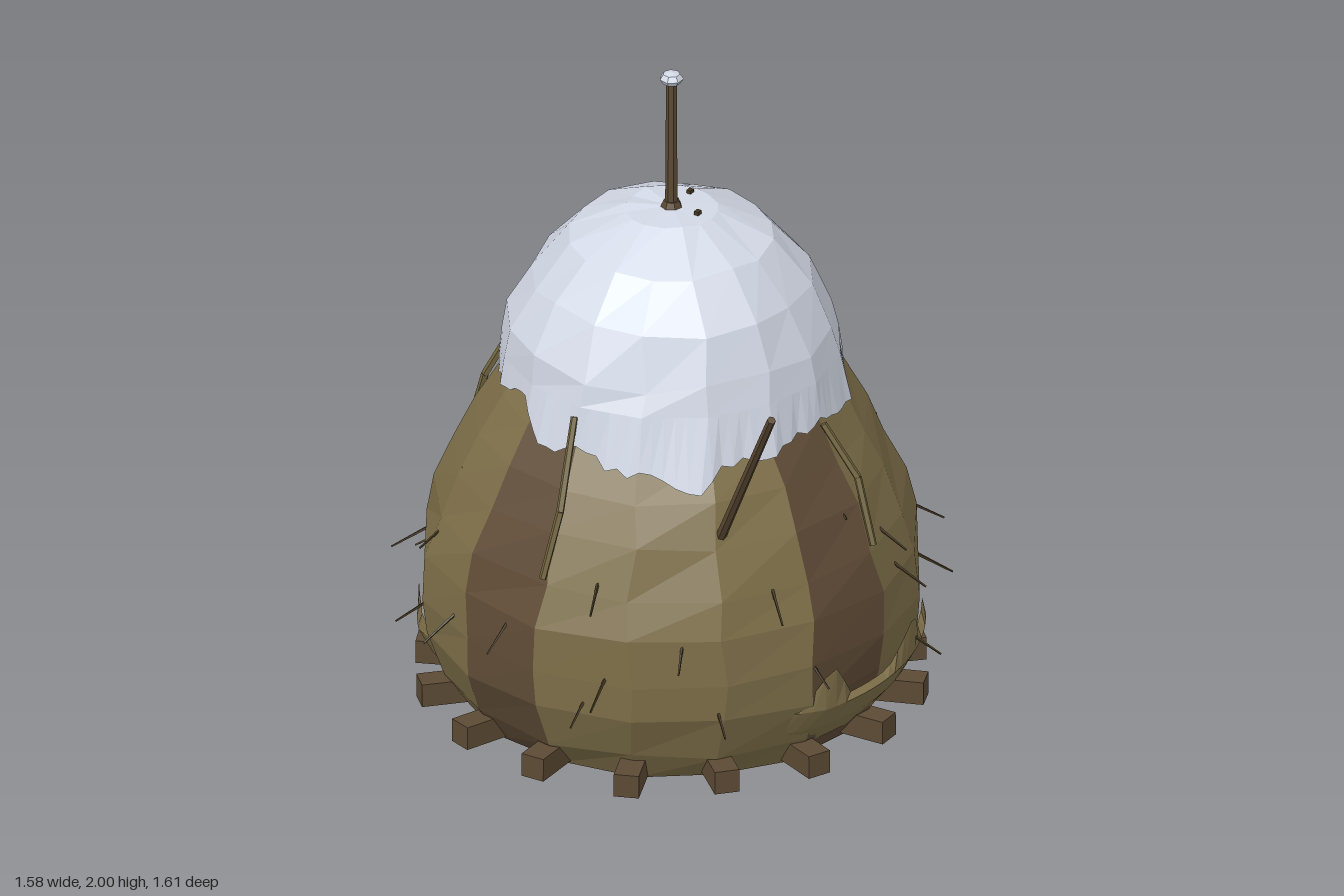
import * as THREE from 'three';

const mat = (name, color) => Object.assign(new THREE.MeshStandardMaterial({ color }), { name });
const SEG = 16, STEP = Math.PI * 2 / SEG;

// Repeatable value in -1..1 for a pair of integers
const noise = (i, j) => {
  const s = Math.sin(i * 127.1 + j * 311.7) * 43758.5453;
  return (s - Math.floor(s)) * 2 - 1;
};
const lerpTable = (table, t) => {
  let k = 0;
  while (k < table.length - 2 && t > table[k + 1][0]) k++;
  const [a, b] = [table[k], table[k + 1]];
  return THREE.MathUtils.lerp(a[1], b[1], THREE.MathUtils.clamp((t - a[0]) / (b[0] - a[0]), 0, 1));
};
// Angle 0 is the front, a quarter turn is +x
const polar = (a, r, y) => new THREE.Vector3(Math.sin(a) * r, y, Math.cos(a) * r);

// Faceted surface from rows of points, bottom row first; pick(i, j) filters cells
function gridGeometry(rows, pick = () => true) {
  const out = [];
  for (let i = 0; i < rows.length - 1; i++) {
    for (let j = 0; j < rows[i].length - 1; j++) {
      if (!pick(i, j)) continue;
      const a = rows[i][j], b = rows[i][j + 1], c = rows[i + 1][j + 1], d = rows[i + 1][j];
      for (const p of [a, b, c, a, c, d]) out.push(p.x, p.y, p.z);
    }
  }
  const g = new THREE.BufferGeometry();
  g.setAttribute('position', new THREE.Float32BufferAttribute(out, 3));
  g.computeVertexNormals();
  return g;
}
const range = (n, f) => Array.from({ length: n }, (_, i) => f(i));

// Hay outline: height, radius
const hay = [[0, 0.6], [0.1, 0.675], [0.24, 0.722], [0.36, 0.732], [0.5, 0.727], [0.62, 0.69],
  [0.76, 0.632], [0.88, 0.575], [1.0, 0.505], [1.12, 0.42], [1.3, 0.28], [1.45, 0.03]];
// Lower edge of the snow: degrees, height
const rim = [[0, 1.0], [12, 0.96], [24, 0.95], [41, 0.9], [50, 0.97], [70, 0.98], [90, 1.0], [112, 0.97],
  [130, 1.05], [150, 1.02], [165, 0.98], [180, 1.0], [205, 0.96], [225, 1.02], [250, 0.98],
  [270, 1.02], [300, 1.03], [336, 1.065], [342, 0.98], [350, 0.96], [360, 1.0]];
// Snow above its shoulder: radius, height
const snow = [[0.475, 1.2], [0.41, 1.345], [0.3, 1.475], [0.135, 1.558], [0, 1.562]];
// Loose hay: start and end degrees, then torn peaks as degrees, height, half width
const looseHay = [
  [58, 136, [[72, 0.13, 7], [104, 0.11, 11], [126, 0.05, 8]]],
  [260, 318, [[273, 0.05, 8], [298, 0.08, 9], [309, 0.04, 6]]],
];

export function createModel() {
  const root = new THREE.Group();
  const olive = mat('hay olive', 0x7e6f49), brown = mat('hay brown', 0x604c37),
    wood = mat('log wood', 0x5c4a34), dark = mat('dark twig', 0x463922),
    straw = mat('straw stick', 0x736640), white = mat('snow', 0xd2d8e5);

  const add = (name, geometry, material, parent = root) => {
    let g = geometry;
    if (g.index) { g = g.toNonIndexed(); g.computeVertexNormals(); }
    const m = new THREE.Mesh(g, material);
    m.name = name;
    parent.add(m);
    return m;
  };
  const group = (name) => {
    const g = new THREE.Group();
    g.name = name;
    root.add(g);
    return g;
  };
  // Straight stick between two points
  const rod = (name, a, b, r0, r1, sides, material, parent) => {
    const d = b.clone().sub(a);
    const m = add(name, new THREE.CylinderGeometry(r1, r0, d.length(), sides), material, parent);
    m.position.copy(a).addScaledVector(d, 0.5);
    m.quaternion.setFromUnitVectors(new THREE.Vector3(0, 1, 0), d.normalize());
  };

  // Hay body with four brown panels
  const rows = hay.map(([y, r], i) => range(SEG + 1, (j) => {
    const k = j % SEG;
    return polar(j * STEP + noise(i, k + 40) * 0.02, r * (1 + noise(i, k) * 0.014), y + (i ? noise(i + 9, k) * 0.008 : 0));
  }));
  add('hayBody', gridGeometry(rows, (i, j) => j % 4 !== 3), olive);
  add('hayPanels', gridGeometry(rows, (i, j) => j % 4 === 3), brown);
  const floor = add('hayUnderside', new THREE.CircleGeometry(0.62, SEG), olive);
  floor.rotation.x = Math.PI / 2;
  floor.position.y = 0.035;

  // Loose hay slumped at the foot on two sides, sinking into the body at its ends
  for (const [from, to, peaks] of looseHay) {
    const N = 26;
    const row = (y, bulge, torn) => range(N + 1, (j) => {
      const deg = from + (to - from) * j / N;
      const rise = torn * peaks.reduce((h, [at, top, w]) => Math.max(h, top * (1 - Math.abs(deg - at) / w)), 0);
      const fade = Math.min(1, j / 4, (N - j) / 4);
      return polar(deg * Math.PI / 180, lerpTable(hay, y + rise) - 0.02 + fade * bulge + rise * 0.1, y + rise);
    });
    add('looseHay', gridGeometry([row(0.07, 0.01, 0), row(0.14, 0.03, 0), row(0.215, 0.045, 0), row(0.228, 0.02, 1)]), olive);
  }

  // Snow cap: broad facets above, ragged edge that rests on the hay below
  const fine = 6, M = SEG * fine;
  const facet = (j, f) => {
    const k = Math.floor(j / fine) % SEG;
    return f(k).lerp(f((k + 1) % SEG), (j % fine) / fine);
  };
  const edge = (inset) => range(M + 1, (j) => {
    const k = j % M;
    const y = lerpTable(rim, k * 360 / M) + 0.014 * noise(5, k);
    const r = Math.max(0.495 + (1.12 - y) * 0.17, lerpTable(hay, y) + 0.012) - inset;
    return facet(k, (c) => polar(c * STEP, 1, 0)).multiplyScalar(r).setY(y);
  });
  const shoulder = (c) => polar(c * STEP, 0.495 + noise(61, c % SEG) * 0.006, 1.12);
  add('snowEdge', gridGeometry([edge(0.06), edge(0), range(M + 1, (j) => facet(j, shoulder))]), white);
  const capRows = snow.map(([r, y], i) => range(SEG + 1, (j) => {
    const c = j % SEG;
    return polar(j * STEP + noise(i + 20, c) * 0.04, r * (1 + noise(i + 30, c) * 0.03), y + r * noise(i + 50, c) * 0.04);
  }));
  add('snowCap', gridGeometry([range(SEG + 1, shoulder), ...capRows]), white);

  // Centre pole with a collar and a small lump of snow
  const pole = group('centrePole');
  rod('pole', new THREE.Vector3(0, 1.2, 0), new THREE.Vector3(0, 1.975, 0), 0.021, 0.016, 7, wood, pole);
  rod('collar', new THREE.Vector3(0, 1.54, 0), new THREE.Vector3(0, 1.58, 0), 0.04, 0.024, 7, wood, pole);
  const knob = add('poleSnow', new THREE.SphereGeometry(0.036, 7, 4), white, pole);
  knob.scale.y = 0.6;
  knob.position.y = 1.979;
  for (const [x, z] of [[0.09, 0], [0, -0.1]]) {
    add('chip', new THREE.BoxGeometry(0.014, 0.02, 0.018), dark, pole).position.set(x, 1.56, z);
  }

  // Stick leaning out of the hay
  rod('leaningStick', new THREE.Vector3(0.44, 0.79, 0.42), new THREE.Vector3(0.76, 1.36, 0.65), 0.016, 0.013, 6, wood);

  // Bent sticks holding down the hay on four sides
  const sticks = group('bentSticks');
  [1.09, 1.0, 1.06, 1.07].forEach((top, q) => {
    const a = q * Math.PI / 2;
    const pts = [polar(a, 0.695, 0.645), polar(a + 0.03, 0.63, 0.84), polar(a - 0.02, 0.53 - (top - 1) * 0.25, top)];
    rod('stickLower', pts[0], pts[1], 0.011, 0.012, 5, straw, sticks);
    rod('stickUpper', pts[1], pts[2], 0.012, 0.011, 5, straw, sticks);
  });

  // Twigs poking outward and slightly down
  const twigs = group('twigs');
  [0.26, 0.37, 0.49, 0.62, 0.82].forEach((y0, i) => {
    const n = i === 4 ? 6 : 7;
    for (let k = 0; k < n; k++) {
      const a = (k + 0.37 * i + 0.25 * noise(i, k + 70)) * Math.PI * 2 / n;
      const y = y0 + 0.035 * noise(i + 4, k), r = lerpTable(hay, y);
      const len = i === 4 ? 0.03 : 0.075 + 0.02 * noise(k, i);
      rod('twig', polar(a, r - 0.06, y + 0.03), polar(a + 0.04 * noise(k, 8), r + len, y - 0.06), 0.006, 0.003, 4, dark, twigs);
    }
  });

  // Base logs: each starts at the rim and runs a little askew past the middle
  const logs = group('baseLogs');
  for (let k = 0; k < SEG; k++) {
    const log = add('log', new THREE.BoxGeometry(0.074, 0.072, 1.3).translate(0, 0, -0.65), wood, logs);
    log.position.copy(polar(k * STEP, 0.75, 0.052 + 0.01 * noise(k, 90)));
    log.rotation.set(0.012 * noise(k, 91), k * STEP + 0.06 * noise(k, 92), 0, 'YXZ');
  }
  return root;
}
